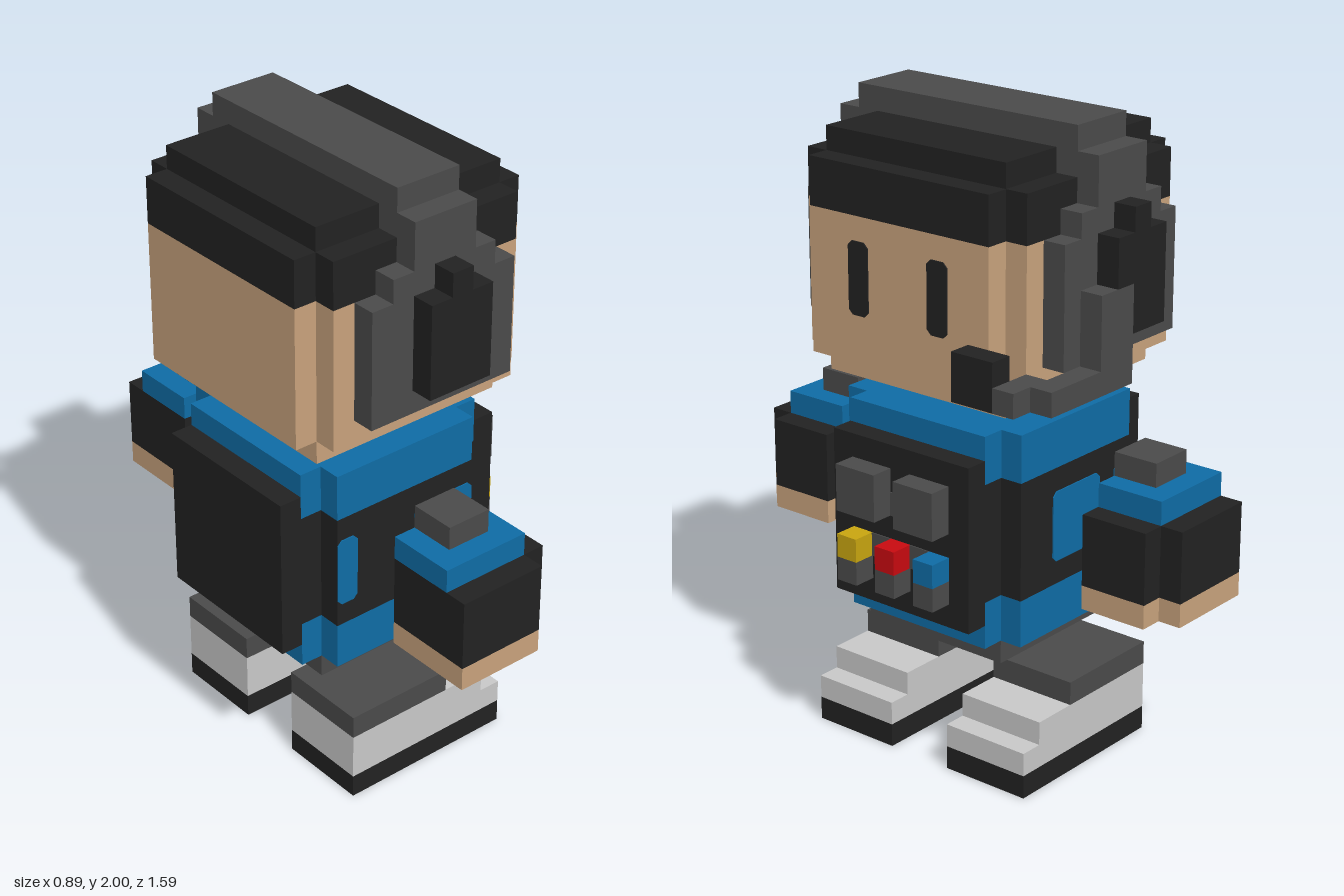
import * as THREE from 'three';

const U = 2 / 27; // one block

const material = (name, color) => {
  const m = new THREE.MeshStandardMaterial({ color });
  m.name = name;
  return m;
};

export function createModel() {
  const skin = material('skin', 0xc8a27c);
  const black = material('black', 0x222222);
  const grey = material('grey', 0x4a4a4a);
  const blue = material('blue', 0x0f6ca5);
  const light = material('lightGrey', 0xc8c8c8);
  const yellow = material('yellow', 0xc8a510);
  const red = material('red', 0xc80a10);

  const model = new THREE.Group();
  model.name = 'blockFigure';

  const section = (name) => {
    const g = new THREE.Group();
    g.name = name;
    model.add(g);
    return g;
  };

  // Box given by its extents in blocks
  const block = (parent, name, mat, [x0, x1], [y0, y1], [z0, z1]) => {
    const geo = new THREE.BoxGeometry((x1 - x0) * U, (y1 - y0) * U, (z1 - z0) * U);
    const mesh = new THREE.Mesh(geo, mat);
    mesh.position.set((x0 + x1) * U / 2, (y0 + y1) * U / 2, (z0 + z1) * U / 2);
    mesh.name = name;
    parent.add(mesh);
    return mesh;
  };

  // Block extents in z, placed on the side s = 1 or -1
  const side = (s, a, b) => (s > 0 ? [a, b] : [-b, -a]);

  // Box with its four upright corners notched by one block
  const notched = (parent, name, mat, [x0, x1], [y0, y1], zHalf) => {
    const shape = new THREE.Shape();
    const h = zHalf - 1;
    const corners = [
      [x0, -h], [x0 + 1, -h], [x0 + 1, -zHalf], [x1 - 1, -zHalf], [x1 - 1, -h], [x1, -h],
      [x1, h], [x1 - 1, h], [x1 - 1, zHalf], [x0 + 1, zHalf], [x0 + 1, h], [x0, h],
    ];
    shape.setFromPoints(corners.map(([x, z]) => new THREE.Vector2(x * U, z * U)));
    const geo = new THREE.ExtrudeGeometry(shape, { depth: (y1 - y0) * U, bevelEnabled: false });
    geo.rotateX(-Math.PI / 2);
    const mesh = new THREE.Mesh(geo, mat);
    mesh.position.y = y0 * U;
    mesh.name = name;
    parent.add(mesh);
  };

  // Thin plate with clipped corners, w by h blocks, facing +z
  const plate = (parent, name, mat, w, h, c) => {
    const a = w / 2, b = h / 2;
    const pts = [[-a + c, -b], [a - c, -b], [a, -b + c], [a, b - c], [a - c, b], [-a + c, b], [-a, b - c], [-a, -b + c]];
    const shape = new THREE.Shape(pts.map(([x, y]) => new THREE.Vector2(x * U, y * U)));
    const mesh = new THREE.Mesh(new THREE.ExtrudeGeometry(shape, { depth: 0.004, bevelEnabled: false }), mat);
    mesh.name = name;
    parent.add(mesh);
    return mesh;
  };

  // Head and hair
  const head = section('head');
  block(head, 'chin', skin, [-5, 4], [16, 17], [-4.5, 4.5]);
  notched(head, 'face', skin, [-6, 5], [17, 23], 5.5);
  notched(head, 'hair', black, [-6, 5], [23, 25], 5.5);
  block(head, 'hairTop', black, [-5, 4], [25, 26], [-4.5, 4.5]);
  for (const z of [-2, 2]) {
    const eye = plate(head, 'eye', black, 1, 3, 0.2);
    eye.rotation.y = Math.PI / 2;
    eye.position.set(5 * U, 20.5 * U, z * U);
  }

  // Headset with cups on both sides
  const headset = section('headset');
  block(headset, 'headbandTop', grey, [-2, 1], [26, 27], [-5.5, 5.5]);
  for (const s of [1, -1]) {
    block(headset, 'headbandShoulder', grey, [-2, 1], [25, 26], side(s, 4.5, 6.5));
    block(headset, 'headbandSide', grey, [-2, 1], [24, 25], side(s, 5.5, 6.5));
    block(headset, 'cupNeck', grey, [-3, 2], [23, 24], side(s, 5.5, 6.5));
    block(headset, 'earCup', grey, [-4, 3], [18, 23], side(s, 5.5, 6.5));
    block(headset, 'cupKnob', black, [-1, 0], [23, 24], side(s, 6.5, 7.5));
  }
  block(headset, 'cupCover', black, [-2, 1], [19, 23], [6.5, 7.5]);
  block(headset, 'cupCover', black, [-2, 0], [19, 23], [-7.5, -6.5]);
  block(headset, 'cupCoverCorner', black, [0, 1], [21, 23], [-7.5, -6.5]);

  // Microphone on its boom
  block(headset, 'boomMount', grey, [0, 2], [18, 21], [-7.5, -6.5]);
  block(headset, 'boom', grey, [0, 5], [17, 18], [-7.5, -6.5]);
  block(headset, 'boomEnd', grey, [4, 6], [17, 18], [-6.5, -5.5]);
  block(headset, 'microphone', black, [5, 6], [17, 19], [-5.5, -3.5]);

  // Torso
  const torso = section('torso');
  block(torso, 'hips', grey, [-4, 3], [5, 6], [-3.5, 3.5]);
  notched(torso, 'shirtHem', blue, [-5, 4], [6, 8], 4.5);
  notched(torso, 'vest', black, [-5, 4], [8, 13], 4.5);
  notched(torso, 'collar', blue, [-5, 4], [13, 15], 4.5);
  block(torso, 'chestPanel', black, [4, 5], [7, 14], [-3.5, 3.5]);
  block(torso, 'backPanel', black, [-6, -5], [7, 14], [-3.5, 3.5]);

  // Blue patches on the vest sides: [side, centre x, width]
  for (const [s, x, w] of [[1, -3.5, 1], [1, 1.5, 3], [-1, -3.5, 1], [-1, -0.5, 3]]) {
    const patch = plate(torso, 'vestPatch', blue, w, 3, 0.2);
    if (s < 0) patch.rotation.y = Math.PI;
    patch.position.set(x * U, 10.5 * U, s * 4.5 * U);
  }

  // Chest controls
  const controls = section('chestControls');
  for (const s of [1, -1]) {
    block(controls, 'pocket', grey, [5, 6], [11, 13], side(s, 0.5, 2.5));
    block(controls, 'buttonGap', grey, [5, 5.05], [9, 10], side(s, 0.5, 1.5));
  }
  block(controls, 'pocketStrap', grey, [5, 5.05], [11, 12], [-0.5, 0.5]);
  [[yellow, 2], [red, 0], [blue, -2]].forEach(([mat, z]) => {
    block(controls, 'button', mat, [5, 6], [9, 10], [z - 0.5, z + 0.5]);
    block(controls, 'buttonBase', grey, [5, 6], [8, 9], [z - 0.5, z + 0.5]);
  });

  for (const s of [1, -1]) {
    // Arms
    const arm = section(s > 0 ? 'armNear' : 'armFar');
    for (const [name, mat, y] of [['hand', skin, [8, 9]], ['glove', black, [9, 12]]]) {
      block(arm, name, mat, [-3, 1], y, side(s, 6.75, 10.75));
      block(arm, name + 'Front', mat, [1, 2], y, side(s, 6.75, 9.75));
    }
    block(arm, 'sleeve', blue, [-3, 1], [12, 13], side(s, 6.75, 9.75));
    block(arm, 'shoulder', grey, [-2, 0], [13, 14], side(s, 6.75, 8.75));

    // Shoes
    const shoe = section(s > 0 ? 'shoeNear' : 'shoeFar');
    const z = side(s, 1.5, 5.5);
    block(shoe, 'sole', black, [-4, 4], [0, 1], z);
    block(shoe, 'toe', light, [-4, 4], [1, 2], z);
    block(shoe, 'upper', light, [-4, 3], [2, 3], z);
    block(shoe, 'trouserCuff', grey, [-4, 1], [3, 4], z);
  }

  return model;
}
